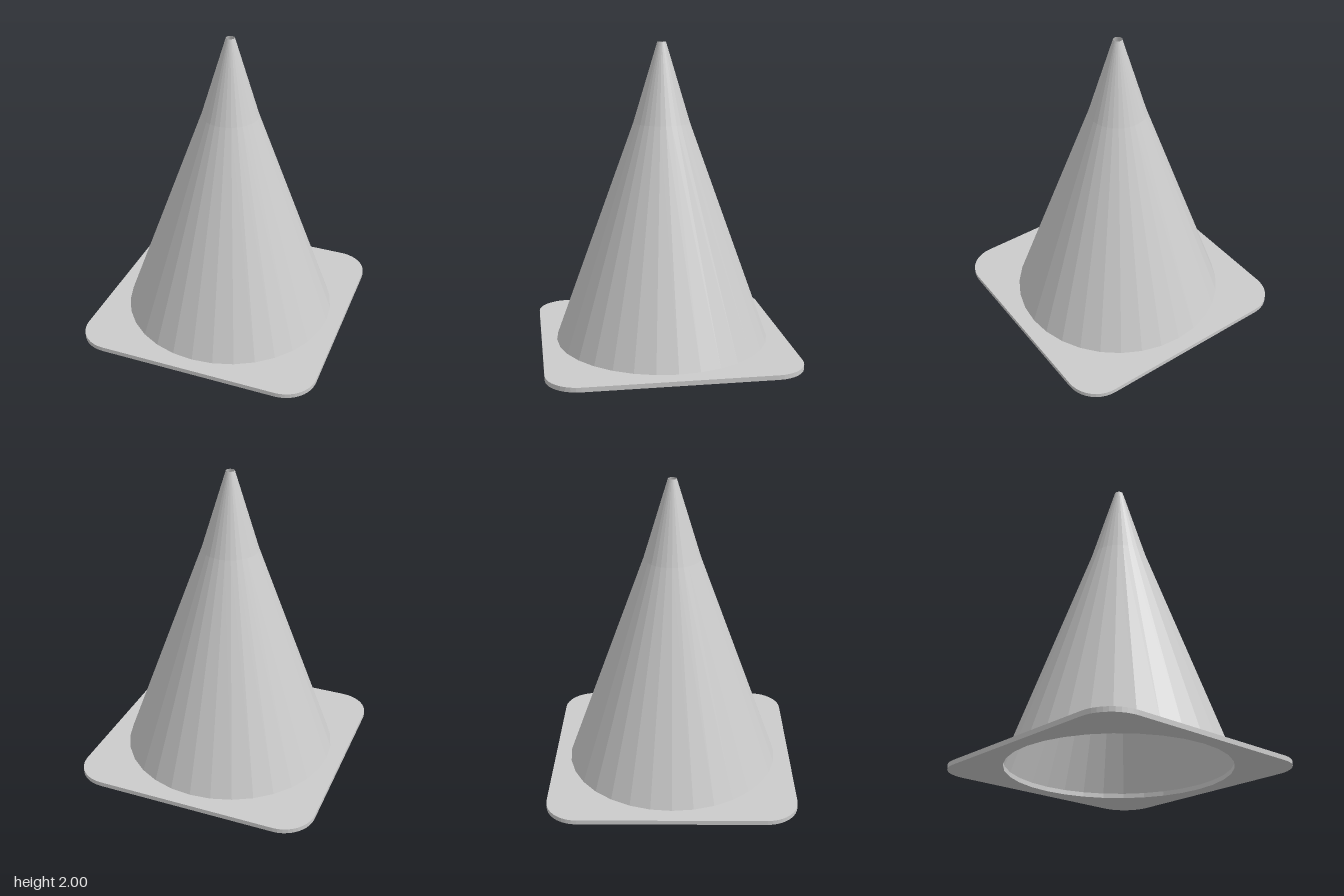
import * as THREE from 'three';

const SIDES = 32;
const BASE_HEIGHT = 0.03;
const FOOT_RADIUS = 0.71;

// Square outline with rounded corners, centred on the origin
function roundedSquare(half, radius) {
  const c = half - radius;
  const shape = new THREE.Shape();
  shape.absarc(c, c, radius, 0, Math.PI / 2);
  shape.absarc(-c, c, radius, Math.PI / 2, Math.PI);
  shape.absarc(-c, -c, radius, Math.PI, Math.PI * 1.5);
  shape.absarc(c, -c, radius, Math.PI * 1.5, Math.PI * 2);
  shape.closePath();
  return shape;
}

export function createModel() {
  const group = new THREE.Group();
  group.name = 'trafficCone';
  const material = new THREE.MeshStandardMaterial({
    color: 0xcccccc, flatShading: true, side: THREE.DoubleSide,
  });

  // Flat base plate, open under the cone
  const outline = roundedSquare(0.812, 0.21);
  const ring = [];
  for (let i = 0; i < SIDES; i++) {
    const a = -(i / SIDES) * Math.PI * 2;
    ring.push(new THREE.Vector2(Math.cos(a) * FOOT_RADIUS, Math.sin(a) * FOOT_RADIUS));
  }
  outline.holes.push(new THREE.Path(ring));
  const baseGeometry = new THREE.ExtrudeGeometry(outline, {
    depth: BASE_HEIGHT, bevelEnabled: false, curveSegments: 5,
  });
  baseGeometry.rotateX(-Math.PI / 2);
  const base = new THREE.Mesh(baseGeometry, material);
  base.name = 'basePlate';
  group.add(base);

  // Hollow thin-walled cone, steeper near the open tip
  const profile = [
    new THREE.Vector2(FOOT_RADIUS, BASE_HEIGHT),
    new THREE.Vector2(0.185, 1.48),
    new THREE.Vector2(0.028, 2),
  ];
  const cone = new THREE.Mesh(new THREE.LatheGeometry(profile, SIDES), material);
  cone.name = 'coneBody';
  group.add(cone);

  return group;
}
